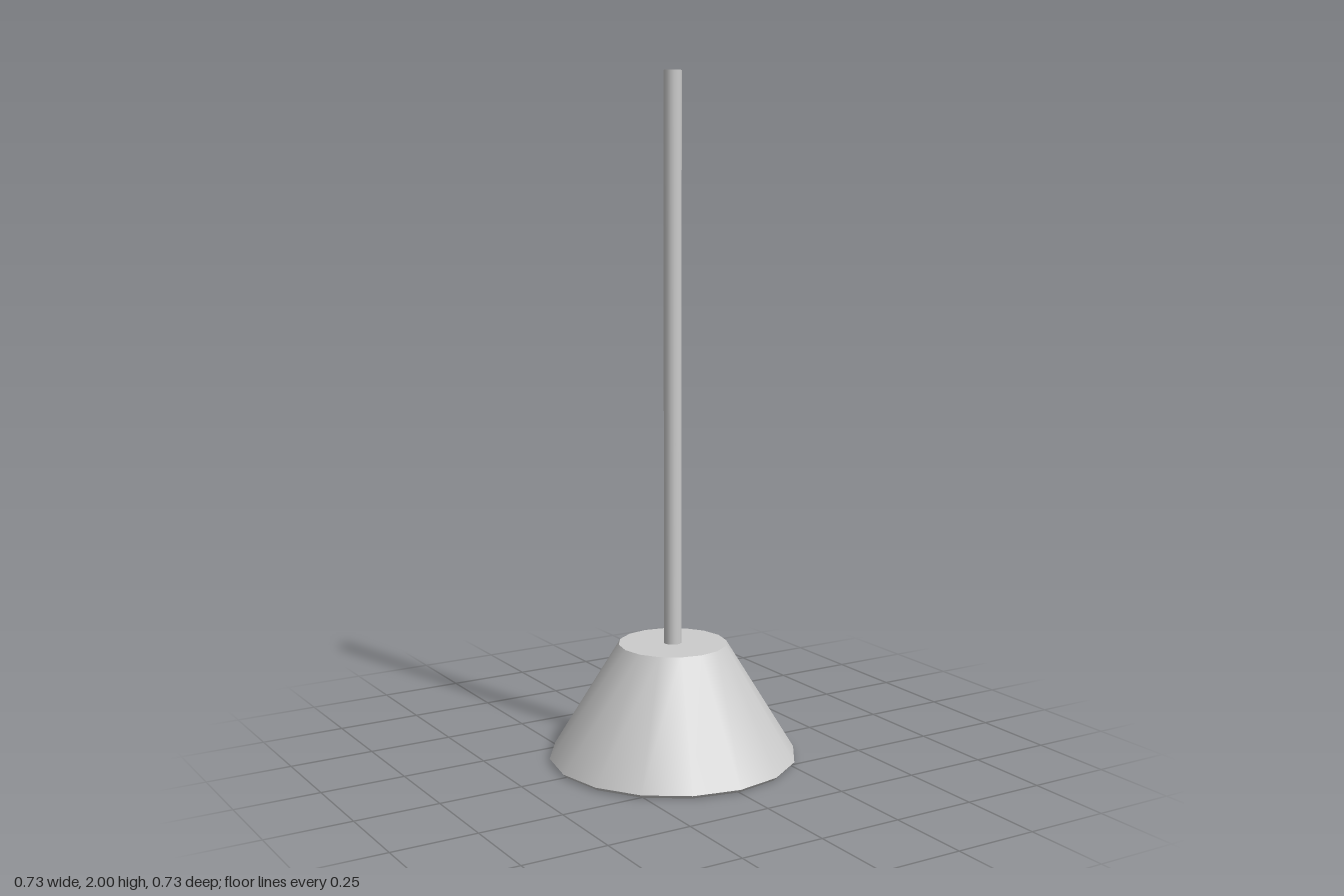
import * as THREE from 'three';

const SIDES = 16;
const POLE_R = 0.026, TOP_R = 0.16, RIM_R = 0.366, LIP_R = 0.357;
const RIM_Y = 0.01, SHOULDER_Y = 0.347, HEIGHT = 2;

export function createModel() {
  const model = new THREE.Group();
  const material = new THREE.MeshStandardMaterial({ color: 0xcccccc, side: THREE.DoubleSide });

  const add = (name, geometry) => {
    const mesh = new THREE.Mesh(geometry, material);
    mesh.name = name;
    model.add(mesh);
  };

  // Open band between two radii and heights
  const band = (topR, topY, bottomR, bottomY) =>
    new THREE.CylinderGeometry(topR, bottomR, topY - bottomY, SIDES, 1, true)
      .translate(0, (topY + bottomY) / 2, 0);

  // Hollow hanging tube, open at both ends
  add('pole', band(POLE_R, HEIGHT, POLE_R, SHOULDER_Y));

  // Flat top of the shade, pierced by the tube
  add('shadeTop', new THREE.RingGeometry(POLE_R, TOP_R, SIDES)
    .rotateX(-Math.PI / 2).translate(0, SHOULDER_Y, 0));

  // Flared shade, open underneath
  add('shade', band(TOP_R, SHOULDER_Y, RIM_R, RIM_Y));

  // Narrow lip turned in along the lower edge
  add('shadeRim', band(RIM_R, RIM_Y, LIP_R, 0));

  return model;
}
